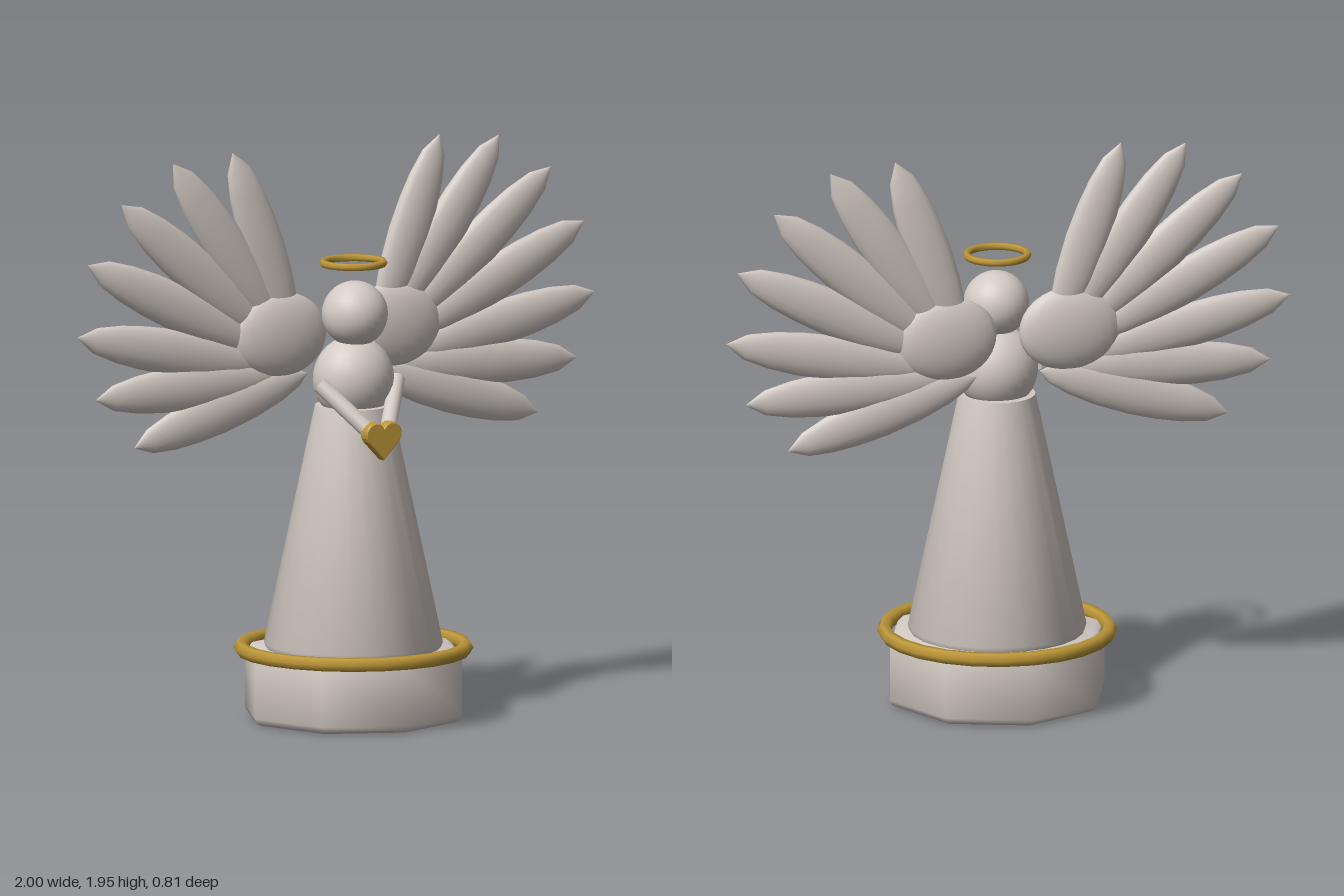
import * as THREE from 'three';
import { toCreasedNormals } from 'three/addons/utils/BufferGeometryUtils.js';

const stone = new THREE.MeshStandardMaterial({ color: 0xd3cac4 });
stone.name = 'pale stone';
const gold = new THREE.MeshStandardMaterial({ color: 0xbc9638 });
gold.name = 'gold';

const rad = THREE.MathUtils.degToRad;
const lathe = (pts, sides) =>
  new THREE.LatheGeometry(pts.map(([r, y]) => new THREE.Vector2(r, y)), sides);

export function createModel() {
  const model = new THREE.Group();
  model.name = 'angelFigurine';

  const add = (name, geometry, material, x = 0, y = 0, z = 0, parent = model) => {
    const mesh = new THREE.Mesh(geometry, material);
    mesh.name = name;
    mesh.position.set(x, y, z);
    parent.add(mesh);
    return mesh;
  };

  // Eight-sided pedestal with softened rims, and its gold band
  const pedestal = lathe([[0, 0], [0.355, 0], [0.372, 0.008], [0.38, 0.025],
    [0.38, 0.215], [0.372, 0.235], [0.355, 0.243], [0, 0.243]], 8);
  add('pedestal', toCreasedNormals(pedestal, rad(50)), stone);
  add('pedestalBand', new THREE.TorusGeometry(0.38, 0.025, 6, 24), gold, 0, 0.242)
    .rotation.x = Math.PI / 2;

  // Gown, torso, head and halo
  const gown = lathe([[0, 0.243], [0.295, 0.243], [0.302, 0.26], [0.13, 1.07], [0, 1.07]], 24);
  add('gown', toCreasedNormals(gown, rad(40)), stone);
  add('torso', new THREE.SphereGeometry(1, 28, 18), stone, 0, 1.16)
    .scale.set(0.14, 0.145, 0.128);
  add('head', new THREE.SphereGeometry(0.112, 28, 18), stone, 0, 1.382, 0.01);
  add('halo', new THREE.TorusGeometry(0.103, 0.013, 6, 24), gold, 0, 1.555)
    .rotation.x = Math.PI / 2;

  // Heart held in front
  const shape = new THREE.Shape();
  shape.moveTo(0, -0.064);
  shape.lineTo(0.058, -0.002);
  shape.bezierCurveTo(0.085, 0.035, 0.03, 0.085, 0, 0.036);
  shape.bezierCurveTo(-0.03, 0.085, -0.085, 0.035, -0.058, -0.002);
  shape.closePath();
  const heart = new THREE.ExtrudeGeometry(shape, {
    depth: 0.034, bevelEnabled: true, bevelThickness: 0.005, bevelSize: 0.004,
    bevelSegments: 1, curveSegments: 10,
  });
  add('heart', heart, gold, 0, 0.978, 0.176);

  // One feather: flattened spindle from root to blunt point, unit length along y
  const feather = lathe([[0, 0], [0.4, 0.06], [0.7, 0.17], [0.91, 0.32], [1, 0.5],
    [0.95, 0.65], [0.82, 0.78], [0.56, 0.905], [0, 1]], 16);
  // Feather tips with lengths, from the top of the fan down
  const fan = [[0.4, 1.945, 0.70], [0.63, 1.925, 0.73], [0.83, 1.8, 0.75],
    [0.96, 1.605, 0.76], [1, 1.36, 0.75], [0.93, 1.14, 0.73], [0.78, 0.965, 0.70]];

  for (const side of [1, -1]) {
    const label = side > 0 ? 'left' : 'right';

    // Arm from shoulder to the heart
    const from = new THREE.Vector3(side * 0.148, 1.153, 0.035);
    const to = new THREE.Vector3(side * 0.032, 1.0, 0.18);
    const dir = to.clone().sub(from);
    const mid = from.clone().add(to).multiplyScalar(0.5);
    const arm = add(label + 'Arm', new THREE.CylinderGeometry(0.028, 0.028, dir.length(), 14),
      stone, mid.x, mid.y, mid.z);
    arm.quaternion.setFromUnitVectors(new THREE.Vector3(0, 1, 0), dir.normalize());

    // Wing: rounded root and a fan of seven feathers
    const wing = new THREE.Group();
    wing.name = label + 'Wing';
    model.add(wing);
    add(label + 'WingRoot', new THREE.SphereGeometry(1, 24, 16), stone,
      side * 0.22, 1.31, -0.118, wing).scale.set(0.18, 0.145, 0.056);
    fan.forEach(([x, y, length], i) => {
      const angle = rad(70 - 14.5 * i);
      const mesh = add(label + 'Feather' + (i + 1), feather, stone,
        side * (x - length * Math.cos(angle)), y - length * Math.sin(angle), -0.12, wing);
      mesh.rotation.z = side * (angle - Math.PI / 2);
      mesh.scale.set(0.078, length, 0.036);
    });
  }
  return model;
}
